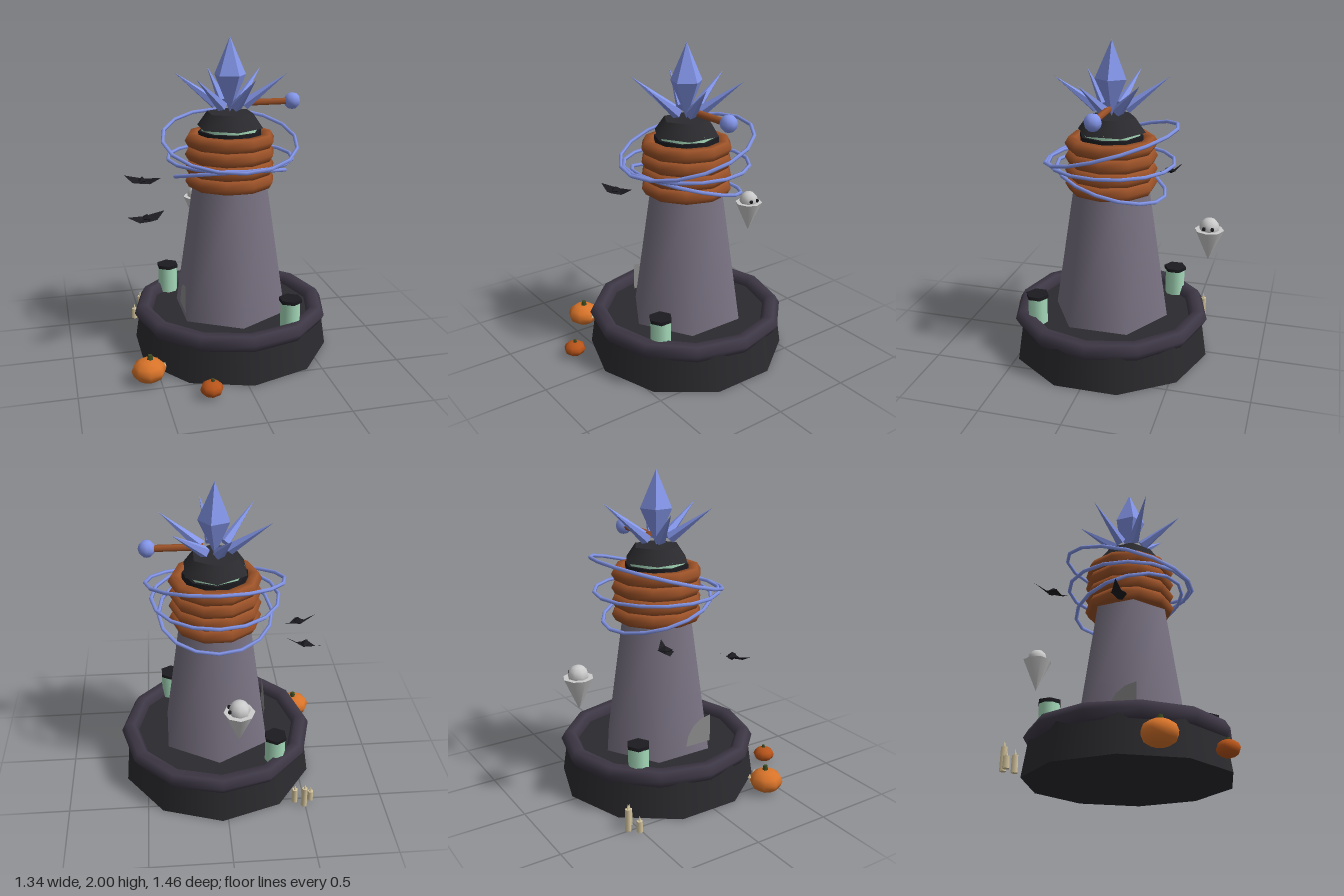
import * as THREE from 'three';

const mat = (color, extra = {}) => new THREE.MeshStandardMaterial({ color, ...extra });
const dark = mat(0x2b2a2e), black = mat(0x1c1b20), rimMat = mat(0x3e3846), stone = mat(0x797282);
const copper = mat(0x9c5228), blue = mat(0x8496ea), crystalMat = mat(0x8496ea, { flatShading: true });
const mint = mat(0xa6dbbb), white = mat(0xd6dad6), wax = mat(0xd8c8a0), green = mat(0x3a4a22);
const web = mat(0x8c8c8c, { side: THREE.DoubleSide }), wingMat = mat(0x1c1b20, { side: THREE.DoubleSide });

function add(parent, name, geo, material, x = 0, y = 0, z = 0) {
  const m = new THREE.Mesh(geo, material);
  m.name = name;
  m.position.set(x, y, z);
  parent.add(m);
  return m;
}
function group(parent, name, x = 0, y = 0, z = 0) {
  const g = new THREE.Group();
  g.name = name;
  g.position.set(x, y, z);
  parent.add(g);
  return g;
}
// Upright frustum between two heights
const frustum = (rTop, rBottom, y0, y1, sides) =>
  new THREE.CylinderGeometry(rTop, rBottom, y1 - y0, sides).translate(0, (y0 + y1) / 2, 0);
// Ring lying flat
const ring = (r, tube, radial, segs) => new THREE.TorusGeometry(r, tube, radial, segs).rotateX(Math.PI / 2);

function addPumpkin(parent, x, z, r, h, color) {
  const g = group(parent, 'pumpkin', x, 0, z);
  add(g, 'pumpkinBody', new THREE.SphereGeometry(r, 8, 6).scale(1, h / (2 * r), 1), mat(color), 0, h / 2 + 0.005, 0);
  add(g, 'pumpkinStem', frustum(r * 0.14, r * 0.2, h * 0.95, h * 1.2, 5), green).rotation.z = -0.05;
  return g;
}

function addBat(parent, x, y, z, turn) {
  const g = group(parent, 'bat', x, y, z);
  g.rotation.y = turn;
  add(g, 'batBody', new THREE.OctahedronGeometry(0.03).scale(1, 0.85, 1.5), black);
  for (const s of [-1, 1]) {
    const geo = new THREE.BufferGeometry();
    geo.setAttribute('position', new THREE.Float32BufferAttribute(
      [0, 0, -0.04, s * 0.128, 0.022, -0.01, s * 0.06, -0.018, 0.02,
        0, 0, -0.04, s * 0.06, -0.018, 0.02, 0, -0.01, 0.05], 3));
    geo.computeVertexNormals();
    add(g, 'batWing', geo, wingMat);
  }
}

export function createModel() {
  const model = new THREE.Group();
  model.name = 'crystalTower';
  const tower = group(model, 'tower', 0.035, 0, -0.03);

  // Base, rim and tapering shaft
  add(tower, 'base', frustum(0.595, 0.632, 0, 0.25, 10), dark);
  add(tower, 'baseRim', ring(0.572, 0.057, 6, 12), rimMat, 0, 0.255, 0);
  add(tower, 'shaft', frustum(0.243, 0.373, 0.24, 1.09, 6), stone);

  // Coil rings around a core
  add(tower, 'core', frustum(0.2, 0.2, 1.08, 1.43, 8), black);
  add(tower, 'glowBand', frustum(0.18, 0.18, 1.42, 1.46, 8), mint);
  for (let i = 0; i < 4; i++) add(tower, 'coilRing', ring(0.24, 0.046, 6, 10), copper, 0, 1.12 + i * 0.085, 0);
  add(tower, 'cap', frustum(0.148, 0.213, 1.45, 1.54, 6), dark);

  // Energy hoops: radius, height, tilt
  for (const [r, y, tilt] of [[0.39, 1.26, 0], [0.422, 1.37, 0.28], [0.35, 1.15, -0.27]]) {
    add(tower, 'energyHoop', ring(r, 0.012, 5, 16), blue, 0, y, 0).rotation.x = tilt;
  }

  // Main crystal
  const crystal = group(tower, 'crystal');
  crystal.rotation.y = 0.35;
  add(crystal, 'crystalTop', new THREE.ConeGeometry(0.102, 0.23, 5, 1, true), crystalMat, 0, 1.885, 0);
  add(crystal, 'crystalBottom', new THREE.CylinderGeometry(0.102, 0, 0.23, 5, 1, true), crystalMat, 0, 1.655, 0);

  // Ring of leaning spikes
  for (let i = 0; i < 6; i++) {
    const spike = group(tower, 'spike', 0, 1.685, 0);
    spike.rotation.y = -(18 + i * 60) * Math.PI / 180;
    add(spike, 'spikeCone', new THREE.ConeGeometry(0.037, 0.32, 5), crystalMat, 0.215, 0, 0).rotation.z = -0.93;
  }

  // Side rod with a ball
  add(tower, 'rod', new THREE.CylinderGeometry(0.021, 0.021, 0.34, 6).rotateZ(Math.PI / 2), copper, 0.24, 1.595, 0);
  add(tower, 'rodBall', new THREE.SphereGeometry(0.053, 8, 6), blue, 0.4, 1.595, 0);

  // Cobweb fan on the side of the shaft
  const fan = new THREE.CircleGeometry(0.18, 4, 0, Math.PI / 2).rotateY(Math.PI / 2);
  add(model, 'cobweb', fan, web, -0.295, 0.31, 0.16);

  // Jars on the base
  for (const [x, z] of [[-0.318, -0.383], [0.323, 0.372]]) {
    const jar = group(model, 'jar', x, 0, z);
    add(jar, 'jarBody', frustum(0.064, 0.064, 0.24, 0.42, 8), mint);
    add(jar, 'jarLid', frustum(0.073, 0.073, 0.418, 0.44, 6), black);
  }

  // Pumpkins; the large one has a carved face
  const big = addPumpkin(model, -0.57, 0.407, 0.105, 0.148, 0xd9742a);
  const face = group(big, 'carvedFace');
  face.rotation.y = 0.5;
  for (const [y, z] of [[0.1, -0.035], [0.1, 0.035], [0.05, 0]]) {
    add(face, 'carving', new THREE.ConeGeometry(0.015, 0.03, 3), wax, 0.095, y, z);
  }
  addPumpkin(model, -0.24, 0.662, 0.069, 0.098, 0xb8541a);

  // Candles
  for (const [x, z, h] of [[-0.54, -0.51, 0.07], [-0.492, -0.56, 0.14], [-0.437, -0.52, 0.1]]) {
    const candle = group(model, 'candle', x, 0, z);
    add(candle, 'candleStick', frustum(0.019, 0.021, 0, h, 5), wax);
    add(candle, 'flame', new THREE.ConeGeometry(0.009, 0.035, 5), wax, 0, h + 0.017, 0);
  }

  // Bats
  addBat(model, -0.485, 1.065, -0.3, -0.46);
  addBat(model, -0.52, 0.953, 0.147, 0.38);

  // Floating ghost looking towards +x
  const ghost = group(model, 'ghost', -0.06, 0, -0.637);
  add(ghost, 'ghostHead', new THREE.SphereGeometry(0.064, 8, 6), white, 0, 0.845, 0);
  add(ghost, 'ghostBody', new THREE.ConeGeometry(0.092, 0.205, 8).rotateX(Math.PI), white, 0, 0.73, 0);
  for (const s of [-1, 1]) add(ghost, 'ghostEye', new THREE.SphereGeometry(0.013, 6, 4), black, 0.057, 0.853, s * 0.026);

  return model;
}
